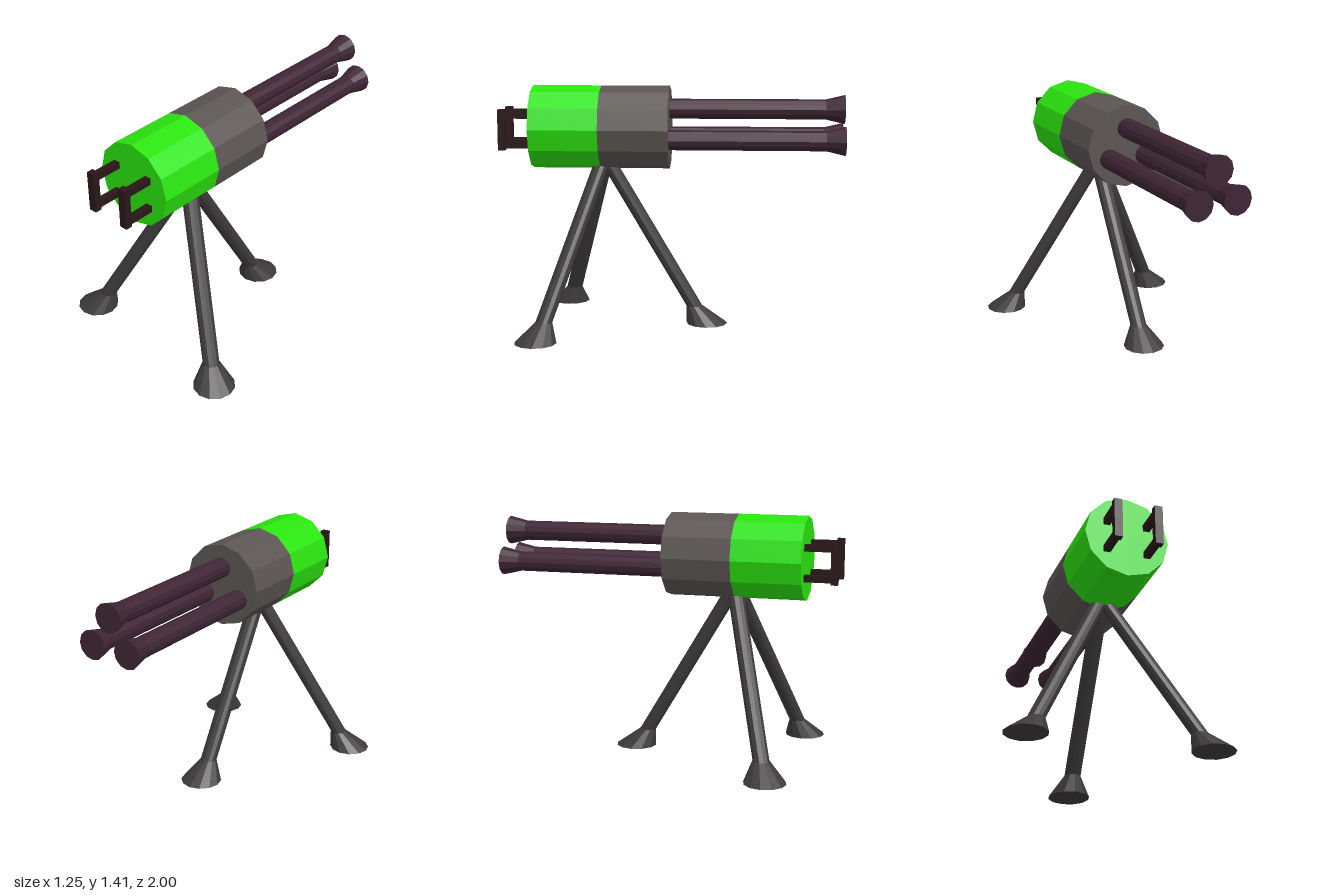
import * as THREE from 'three';

const SIDES = 12;
const paint = (color) => new THREE.MeshStandardMaterial({ color, flatShading: true });

export function createModel() {
  const model = new THREE.Group();
  const green = paint(0x2be50f);
  const grey = paint(0x5b5553);
  const iron = paint(0x3e3a3b);
  const barrelPaint = paint(0x3e2534);
  const gripPaint = paint(0x2a1618);

  const add = (parent, name, geometry, material, x = 0, y = 0, z = 0) => {
    const mesh = new THREE.Mesh(geometry, material);
    mesh.name = name;
    mesh.position.set(x, y, z);
    parent.add(mesh);
    return mesh;
  };

  // Closed tube lying along z, running from z0 (radius r0) to z1 < z0 (radius r1)
  const tubeZ = (r0, r1, length) =>
    new THREE.CylinderGeometry(r0, r1, length, SIDES).rotateX(Math.PI / 2);

  // Two-tone drum body
  const cx = 0.01, cy = 1.172, r = 0.242;
  add(model, 'frontDrum', tubeZ(r, r, 0.4), green, cx, cy, 0.61);
  add(model, 'rearDrum', tubeZ(r, r, 0.4), grey, cx, cy, 0.21);

  // Three barrels with flared muzzles
  for (const [x, y] of [[0.008, 1.28], [-0.108, 1.108], [0.122, 1.108]]) {
    const barrel = new THREE.Group();
    barrel.name = 'barrel';
    barrel.position.set(x, y, 0);
    add(barrel, 'barrelTube', tubeZ(0.058, 0.058, 0.94), barrelPaint, 0, 0, -0.42);
    add(barrel, 'muzzle', tubeZ(0.058, 0.084, 0.11), barrelPaint, 0, 0, -0.945);
    model.add(barrel);
  }

  // Pair of grips, each an upright held by two arms
  for (const x of [-0.108, 0.123]) {
    const grip = new THREE.Group();
    grip.name = 'grip';
    grip.position.set(x, 0, 0);
    add(grip, 'gripBar', new THREE.BoxGeometry(0.046, 0.234, 0.04), gripPaint, 0, 1.162, 0.98);
    for (const y of [1.075, 1.247]) {
      add(grip, 'gripArm', new THREE.BoxGeometry(0.038, 0.038, 0.17), gripPaint, 0, y, 0.885);
    }
    model.add(grip);
  }

  // Tripod: each leg is three level rings [x, y, z, radius], from top to ankle to sole
  const makeLeg = (rings) => {
    const geometry = new THREE.CylinderGeometry(1, 1, 2, SIDES, 2);
    const p = geometry.attributes.position;
    for (let i = 0; i < p.count; i++) {
      const [x, y, z, radius] = rings[1 - Math.round(p.getY(i))];
      p.setXYZ(i, x + p.getX(i) * radius, y, z + p.getZ(i) * radius);
    }
    geometry.computeVertexNormals();
    return geometry;
  };
  add(model, 'rearLeg', makeLeg([
    [0.005, 0.96, 0.37, 0.048], [0.005, 0.105, -0.135, 0.048], [0.007, 0, -0.21, 0.12],
  ]), iron);
  add(model, 'rightLeg', makeLeg([
    [-0.015, 0.96, 0.4, 0.048], [-0.445, 0.105, 0.65, 0.048], [-0.508, 0, 0.685, 0.12],
  ]), iron);
  add(model, 'leftLeg', makeLeg([
    [0.025, 0.96, 0.41, 0.048], [0.443, 0.105, 0.697, 0.048], [0.502, 0, 0.737, 0.12],
  ]), iron);

  return model;
}
